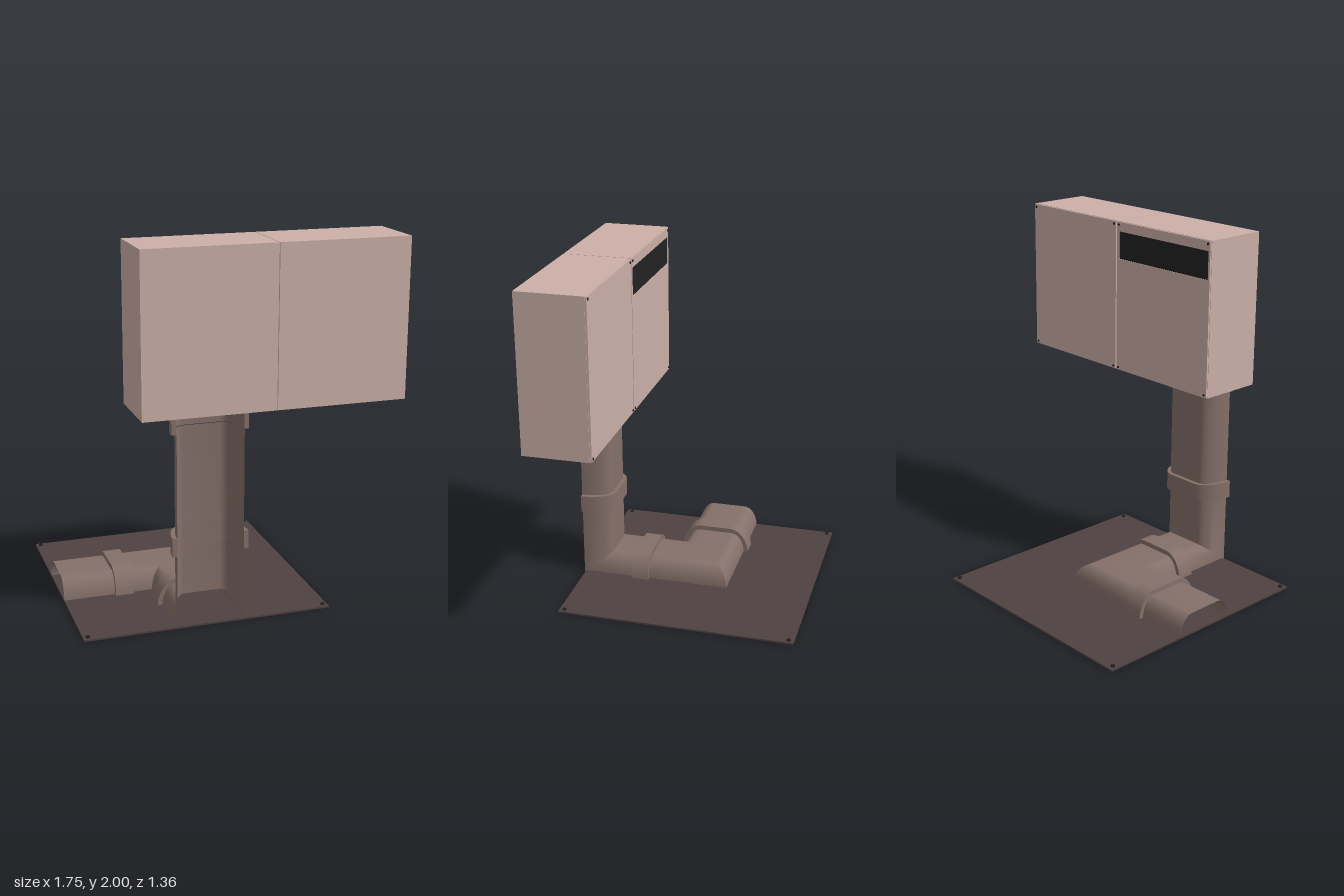
import * as THREE from 'three';
import { toCreasedNormals } from 'three/addons/utils/BufferGeometryUtils.js';

const ductMat = new THREE.MeshStandardMaterial({ color: 0x85706a, side: THREE.DoubleSide });
const boxMat = new THREE.MeshStandardMaterial({ color: 0xccb0a8 });
const plateMat = new THREE.MeshStandardMaterial({ color: 0x4e4141 });
const darkMat = new THREE.MeshStandardMaterial({ color: 0x222222 });

const CX = -0.2, CZ = -0.01, WALL = 0.68; // duct centre lines and wall plane

// Flat arch: level crown with a quarter ellipse at each shoulder, as [across, height].
function arch(flat, corner, height, steps = 10) {
  const right = [];
  for (let i = 0; i <= steps; i++) {
    const t = (i / steps) * Math.PI / 2;
    right.push([flat + corner * Math.cos(t), height * Math.sin(t)]);
  }
  return right.concat(right.map(([s, h]) => [-s, h]).reverse());
}

// Open channel lofted through stations, each mapping [across, height] to a point.
function channel(stations) {
  const profile = arch(0.1, 0.08, 0.125);
  const n = profile.length;
  const pos = [], index = [];
  stations.forEach((at, k) => {
    for (const [s, h] of profile) pos.push(...at(s, h));
    if (k === 0) return;
    for (let i = 0; i < n - 1; i++) {
      const a = (k - 1) * n + i, b = k * n + i;
      index.push(a, b, a + 1, a + 1, b, b + 1);
    }
  });
  const geo = new THREE.BufferGeometry();
  geo.setAttribute('position', new THREE.Float32BufferAttribute(pos, 3));
  geo.setIndex(index);
  return toCreasedNormals(geo, 0.6);
}

// Solid arched band around a duct; the opening matches the duct itself.
function collar(length, outerH, innerH) {
  const pts = [...arch(0.09, 0.115, outerH), ...arch(0.1, 0.08, innerH).reverse()];
  const shape = new THREE.Shape(pts.map(([s, h]) => new THREE.Vector2(s, h)));
  const geo = new THREE.ExtrudeGeometry(shape, { depth: length, bevelEnabled: false });
  return toCreasedNormals(geo, 0.6);
}

export function createModel() {
  const model = new THREE.Group();
  const add = (name, geo, mat, x = 0, y = 0, z = 0) => {
    const m = new THREE.Mesh(geo, mat);
    m.name = name;
    m.position.set(x, y, z);
    model.add(m);
    return m;
  };
  const block = (name, mat, x0, x1, y0, y1, z0, z1) =>
    add(name, new THREE.BoxGeometry(x1 - x0, y1 - y0, z1 - z0), mat, (x0 + x1) / 2, (y0 + y1) / 2, (z0 + z1) / 2);

  // Floor plate and its corner screws
  block('floorPlate', plateMat, -0.875, 0.475, 0, 0.01, -0.68, 0.67);
  for (const x of [-0.85, 0.45])
    for (const z of [-0.65, 0.64])
      add('plateScrew', new THREE.CylinderGeometry(0.012, 0.012, 0.008, 12), darkMat, x, 0.013, z);

  // Duct run: down the wall, across the floor, mitred round to the right
  const onWall = y => (s, h) => [CX + s, y, WALL - h * 1.28];
  const wallMitre = (s, h) => [CX + s, h, WALL - h * 1.28];
  const onFloor = z => (s, h) => [CX + s, h, z];
  const floorMitre = (s, h) => [CX + s, h, CZ - s];
  const sideways = x => (s, h) => [x, h, CZ - s];
  add('wallDuct', channel([onWall(1.06), onWall(0.51)]), ductMat);
  add('wallElbow', channel([onWall(0.41), wallMitre, onFloor(0.38)]), ductMat);
  add('floorElbow', channel([onFloor(0.28), floorMitre, sideways(-0.49)]), ductMat);
  add('outletDuct', channel([sideways(-0.59), sideways(-0.875)]), ductMat);

  // Joint collars
  add('floorCollar', collar(0.1, 0.152, 0.125), ductMat, CX, 0, 0.28);
  add('outletCollar', collar(0.1, 0.152, 0.125), ductMat, -0.59, 0, CZ).rotation.y = Math.PI / 2;
  add('wallCollar', collar(0.1, 0.185, 0.16), ductMat, CX, 0.41, WALL).rotation.x = -Math.PI / 2;
  add('topCollar', collar(0.08, 0.185, 0.16), ductMat, CX, 1.06, 0.672).rotation.x = -Math.PI / 2;

  // Cabinet halves, each with a back cover; the right cover has the vent opening
  const vent = { x0: -0.54, x1: 0.14, y0: 1.79, y1: 1.945 };
  const rect = (P, x0, x1, y0, y1) =>
    new P([[x0, y0], [x1, y0], [x1, y1], [x0, y1]].map(p => new THREE.Vector2(...p)));
  for (const [x0, x1, name, vented] of [[-0.555, 0.158, 'right', true], [0.162, 0.875, 'left', false]]) {
    block(name + 'Cabinet', boxMat, x0, x1, 1.14, 2, 0.306, 0.67);
    const cover = rect(THREE.Shape, x0 + 0.002, x1 - 0.002, 1.142, 1.998);
    if (vented) cover.holes.push(rect(THREE.Path, vent.x0, vent.x1, vent.y0, vent.y1));
    add(name + 'BackCover', new THREE.ExtrudeGeometry(cover, { depth: 0.01, bevelEnabled: false }), boxMat, 0, 0, 0.296);
    for (const x of [x0 + 0.018, x1 - 0.018])
      for (const y of [1.157, 1.983])
        add('coverScrew', new THREE.CylinderGeometry(0.007, 0.007, 0.006, 12), darkMat, x, y, 0.295).rotation.x = Math.PI / 2;
  }
  block('ventGrille', darkMat, vent.x0, vent.x1, vent.y0, vent.y1, 0.3, 0.306);

  return model;
}
